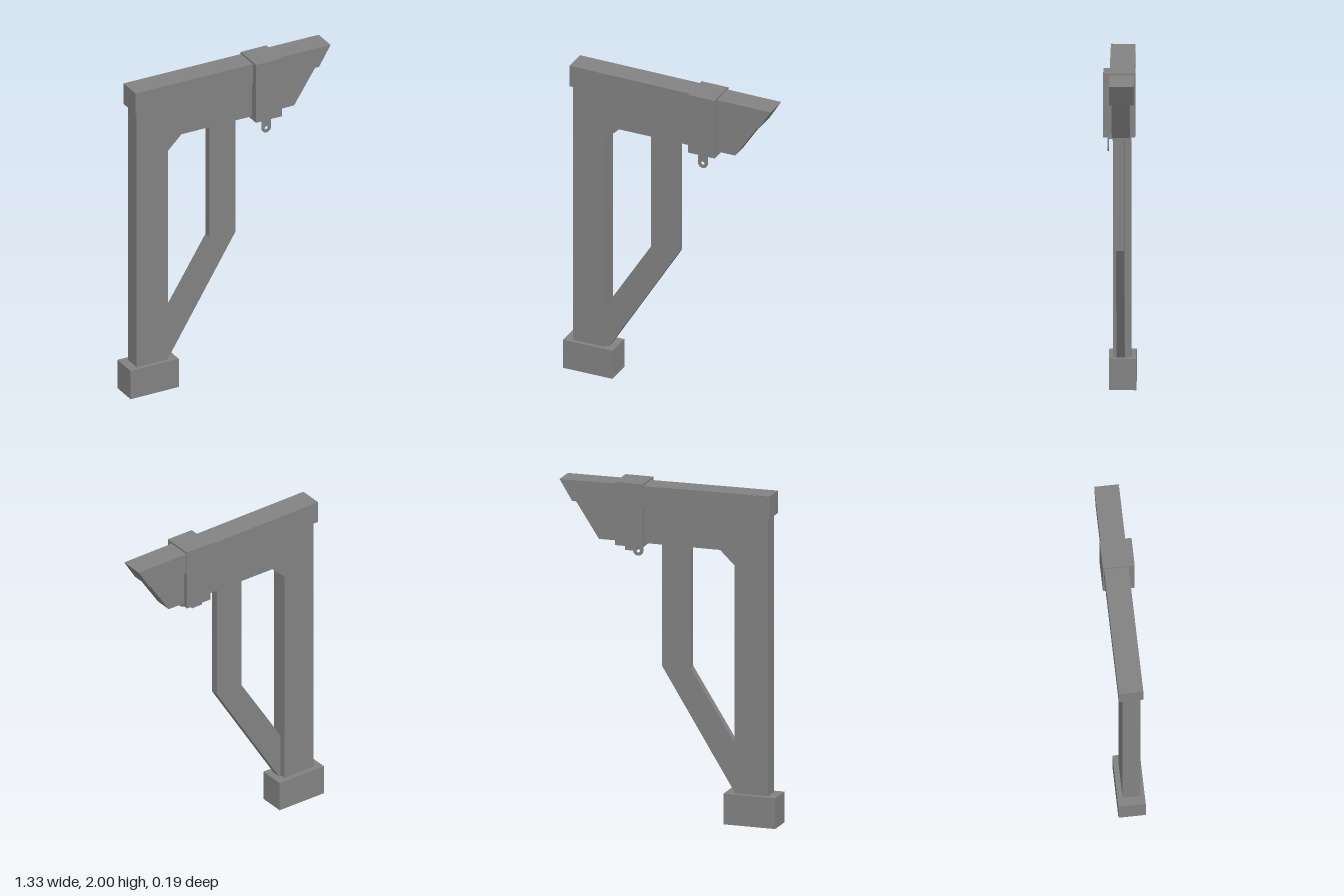
import * as THREE from 'three';

const grey = new THREE.MeshStandardMaterial({ color: 0x828282 });
grey.name = 'plain grey';

// Flat outline in x/y, extruded between two depths
function slab(name, outline, z0, z1) {
  const shape = outline instanceof THREE.Shape
    ? outline
    : new THREE.Shape(outline.map(([x, y]) => new THREE.Vector2(x, y)));
  const geo = new THREE.ExtrudeGeometry(shape, { depth: z1 - z0, bevelEnabled: false, curveSegments: 10 });
  geo.translate(0, 0, z0);
  const mesh = new THREE.Mesh(geo, grey);
  mesh.name = name;
  return mesh;
}

// Box given by its limits on each axis
function block(name, [x0, x1], [y0, y1], [z0, z1]) {
  const geo = new THREE.BoxGeometry(x1 - x0, y1 - y0, z1 - z0);
  geo.translate((x0 + x1) / 2, (y0 + y1) / 2, (z0 + z1) / 2);
  const mesh = new THREE.Mesh(geo, grey);
  mesh.name = name;
  return mesh;
}

export function createModel() {
  const model = new THREE.Group();
  model.name = 'bracketPost';

  // Foot block
  model.add(block('foot', [-0.667, -0.348], [0, 0.185], [-0.093, 0.067]));

  // Upright and arm in one piece, with a chamfered inner corner
  model.add(slab('postAndArm', [
    [-0.613, 0.185], [-0.405, 0.185], [-0.405, 1.555], [-0.317, 1.64],
    [0.43, 1.64], [0.575, 1.86], [-0.613, 1.86],
  ], -0.063, 0.042));

  // Thinner bent brace
  model.add(slab('brace', [
    [-0.405, 0.185], [-0.39, 0.185], [0.054, 0.9], [0.054, 1.64],
    [-0.121, 1.64], [-0.121, 0.905], [-0.405, 0.455],
  ], -0.026, 0.022));

  // Capping beam with a slanted end
  model.add(slab('capBeam', [
    [-0.63, 1.86], [0.587, 1.86], [0.664, 1.985], [-0.63, 1.995],
  ], -0.087, 0.057));

  // Clamp around the arm and the plate under it
  model.add(block('clamp', [0.15, 0.321], [1.62, 2], [-0.093, 0.093]));
  model.add(block('clampPlate', [0.197, 0.267], [1.59, 1.62], [-0.07, 0.04]));

  // Hanging eye: a lip and a rounded tab with a hole
  model.add(block('eyeLip', [0.203, 0.263], [1.6, 1.608], [0.04, 0.068]));
  const tab = new THREE.Shape();
  tab.moveTo(0.203, 1.6);
  tab.lineTo(0.203, 1.555);
  tab.absarc(0.233, 1.555, 0.03, Math.PI, Math.PI * 2, false);
  tab.lineTo(0.263, 1.6);
  const hole = new THREE.Path();
  hole.absarc(0.233, 1.555, 0.012, 0, Math.PI * 2, true);
  tab.holes.push(hole);
  model.add(slab('eyeTab', tab, 0.06, 0.068));

  return model;
}
